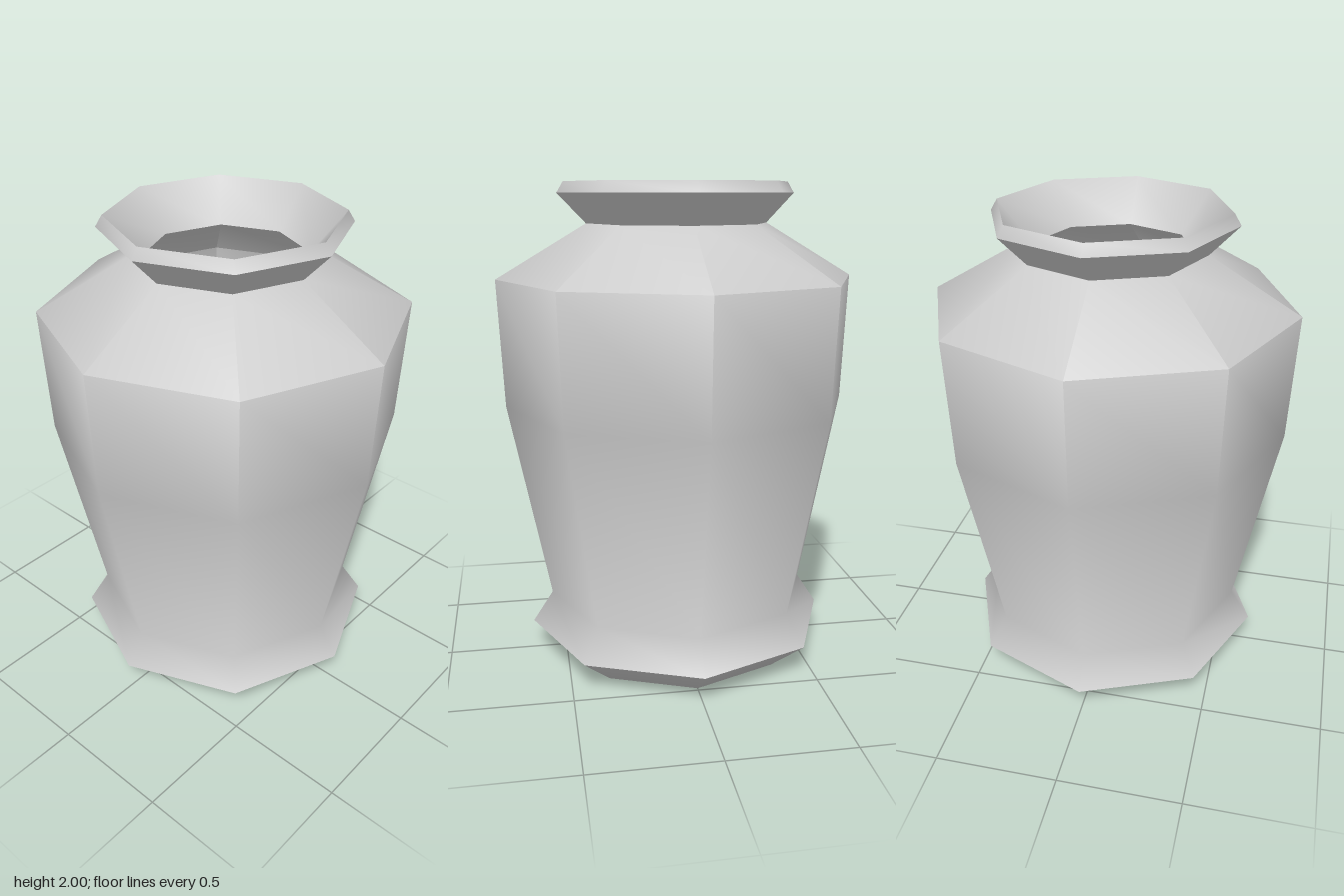
import * as THREE from 'three';
import { toCreasedNormals } from 'three/addons/utils/BufferGeometryUtils.js';

const SIDES = 8;
const CREASE = 1.15;

export function createModel() {
  const vase = new THREE.Group();
  vase.name = 'vase';
  const clay = new THREE.MeshStandardMaterial({ color: 0xcccccc });
  clay.name = 'grey clay';

  // Revolves a [radius, height] profile into an eight-sided ring
  const ring = (name, profile) => {
    const points = profile.map(([r, y]) => new THREE.Vector2(r, y));
    const geometry = toCreasedNormals(new THREE.LatheGeometry(points, SIDES), CREASE);
    const mesh = new THREE.Mesh(geometry, clay);
    mesh.name = name;
    vase.add(mesh);
  };

  // Closed underside flaring out to the foot edge
  ring('foot', [[0, 0], [0.485, 0], [0.64, 0.125]]);

  // Foot top, tapered belly and sloping shoulder
  ring('body', [[0.64, 0.125], [0.555, 0.255], [0.722, 1.09], [0.745, 1.615], [0.375, 1.835]]);

  // Flared neck with a bevelled lip
  ring('neck', [[0.375, 1.835], [0.49, 1.955], [0.463, 2]]);

  // Inner funnel of the mouth, running down to the throat
  ring('mouth', [[0.463, 2], [0.325, 1.835]]);

  // Hollow inside: shoulder, wall and floor
  ring('interior', [[0.325, 1.835], [0.7, 1.59], [0.68, 1.09], [0.515, 0.255], [0.48, 0.1], [0, 0.1]]);

  return vase;
}
